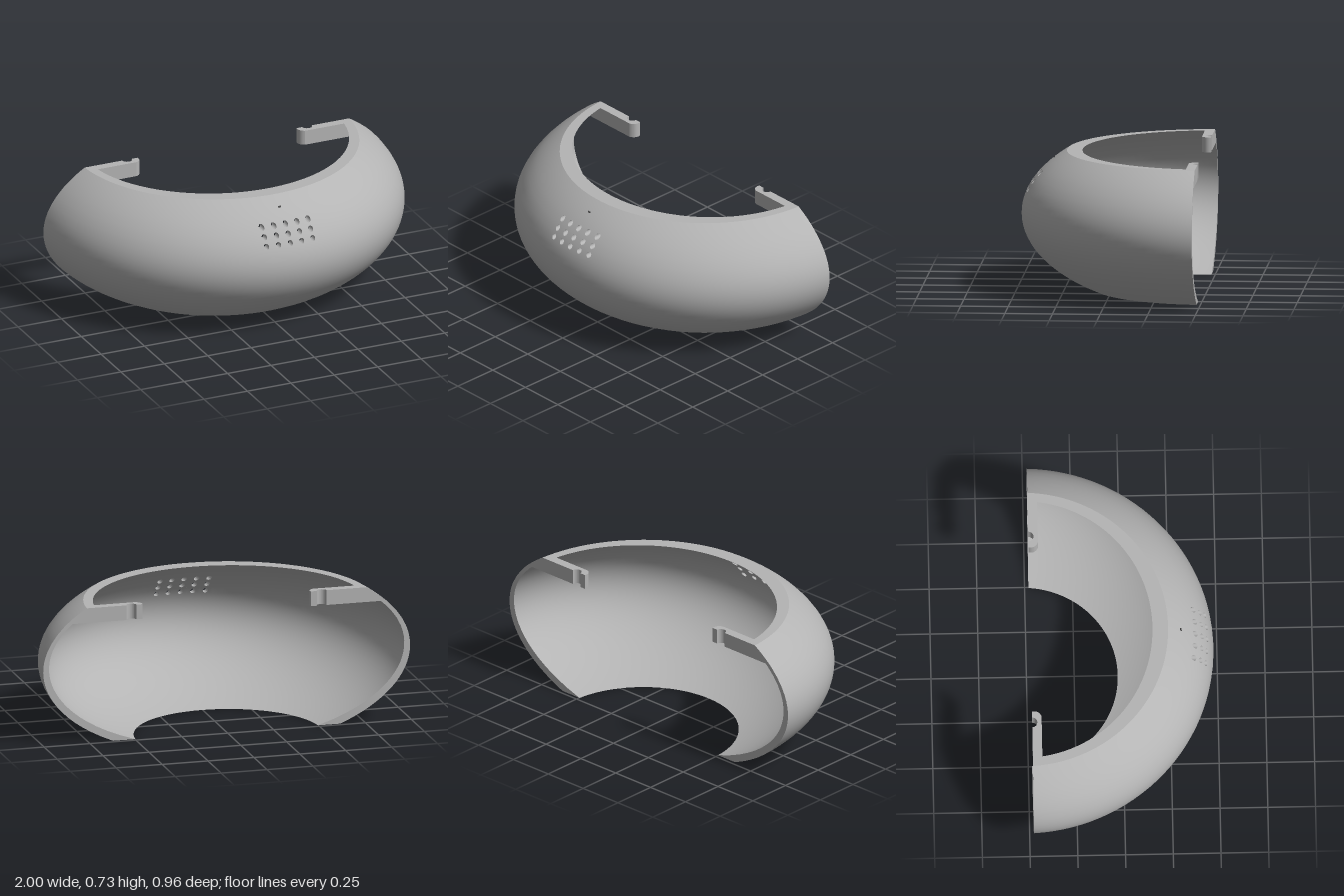
import * as THREE from 'three';

const TOP = 0.73, MID = 0.4, AXIS_Z = -0.52, CUT_Z = -0.48;
const OUTER = { a: 1, b: 0.51, flare: 0, sign: 1 };
const INNER = { a: 0.96, b: 0.468, flare: 0.05, sign: -1 };

const linspace = (a, b, n) => Array.from({ length: n + 1 }, (_, i) => a + (b - a) * i / n);

// Rows (height) and columns (fraction of the half turn); the middle ones frame the vent holes
const ROW0 = 18, COL0 = 26, VENT_ROWS = 3, VENT_COLS = 5;
const rows = [...linspace(0, 0.51, ROW0), 0.5525, 0.595, 0.6375, ...linspace(0.6375, TOP, 5).slice(1)];
const cols = [...linspace(-1, -0.12, COL0), ...linspace(-0.12, 0.12, VENT_COLS).slice(1), ...linspace(0.12, 1, COL0).slice(1)];

const radius = (w, y) => w.a * Math.sqrt(1 - ((y - MID) / w.b) ** 2);
const halfTurn = r => Math.PI / 2 - Math.asin((CUT_Z - AXIS_Z) / r);
const widen = (w, y) => 1 + w.flare * (y / TOP) ** 3;

// Point on a wall at column fraction s and height y
function wallPoint(w, s, y) {
  const r = radius(w, y), t = s * halfTurn(r);
  return new THREE.Vector3(r * Math.sin(t) * widen(w, y), y, AXIS_Z + r * Math.cos(t));
}
// Column fraction at which the wall passes a given x
function columnAt(w, x, y) {
  const r = radius(w, y);
  return Math.asin(x / (r * widen(w, y))) / halfTurn(r);
}

// Outline of one round vent, as x, y pairs
function ventCircle(i, j, n = 16) {
  const cx = (i - 2) * 0.0667, cy = 0.531 + j * 0.043;
  return linspace(0, Math.PI * 2, n).slice(0, n)
    .map(t => new THREE.Vector2(cx + 0.0145 * Math.cos(t), cy + 0.0145 * Math.sin(t)));
}

// Curved wall with smooth normals and open vents
function wallGeometry(w) {
  const pos = [], nor = [];
  const normalAt = p => new THREE.Vector3(p.x / w.a ** 2, (p.y - MID) / w.b ** 2, (p.z - AXIS_Z) / w.a ** 2)
    .normalize().multiplyScalar(w.sign);
  const tri = (a, b, c) => {
    const face = b.clone().sub(a).cross(c.clone().sub(a));
    const order = face.dot(normalAt(a)) < 0 ? [a, c, b] : [a, b, c];
    for (const p of order) {
      pos.push(p.x, p.y, p.z);
      nor.push(...normalAt(p).toArray());
    }
  };
  for (let r = 0; r < rows.length - 1; r++) {
    for (let c = 0; c < cols.length - 1; c++) {
      const corners = [[c, r], [c + 1, r], [c + 1, r + 1], [c, r + 1]]
        .map(([i, j]) => new THREE.Vector2(cols[i], rows[j]));
      const i = c - COL0, j = r - ROW0;
      const vent = i >= 0 && i < VENT_COLS && j >= 0 && j < VENT_ROWS;
      const hole = vent ? ventCircle(i, j).map(p => new THREE.Vector2(columnAt(w, p.x, p.y), p.y)).reverse() : [];
      const pts = [...corners, ...hole].map(p => wallPoint(w, p.x, p.y));
      const faces = THREE.ShapeUtils.triangulateShape(corners, vent ? [hole] : []);
      for (const [a, b, d] of faces) tri(pts[a], pts[b], pts[d]);
    }
  }
  const g = new THREE.BufferGeometry();
  g.setAttribute('position', new THREE.Float32BufferAttribute(pos, 3));
  g.setAttribute('normal', new THREE.Float32BufferAttribute(nor, 3));
  return g;
}

// Flat-sided strip joining two rows of points
function ribbon(p, q) {
  const pos = [];
  for (let i = 0; i < p.length - 1; i++) {
    for (const v of [p[i], p[i + 1], q[i + 1], p[i], q[i + 1], q[i]]) pos.push(v.x, v.y, v.z);
  }
  const g = new THREE.BufferGeometry();
  g.setAttribute('position', new THREE.Float32BufferAttribute(pos, 3));
  g.computeVertexNormals();
  return g;
}

export function createModel() {
  const model = new THREE.Group();
  const grey = new THREE.MeshStandardMaterial({ color: 0xb4b4b4, side: THREE.DoubleSide });
  grey.name = 'grey plastic';
  const dark = new THREE.MeshStandardMaterial({ color: 0x444444 });
  dark.name = 'dark slot';
  const add = (name, geometry, material = grey, parent = model) => {
    const mesh = new THREE.Mesh(geometry, material);
    mesh.name = name;
    parent.add(mesh);
    return mesh;
  };

  // Shell walls
  add('outerWall', wallGeometry(OUTER));
  add('innerWall', wallGeometry(INNER));

  // Flat rims at top and bottom
  const ring = (w, y) => cols.map(s => wallPoint(w, s, y));
  add('topRim', ribbon(ring(OUTER, TOP), ring(INNER, TOP)));
  add('bottomRim', ribbon(ring(INNER, 0), ring(OUTER, 0)));

  // Cut ends of the half ring
  const side = (w, s) => rows.map(y => wallPoint(w, s, y));
  add('leftEnd', ribbon(side(OUTER, 1), side(INNER, 1)));
  add('rightEnd', ribbon(side(INNER, -1), side(OUTER, -1)));

  // Bores of the vents
  const vents = new THREE.Group();
  vents.name = 'vents';
  model.add(vents);
  for (let i = 0; i < VENT_COLS; i++) {
    for (let j = 0; j < VENT_ROWS; j++) {
      const loop = ventCircle(i, j);
      loop.push(loop[0]);
      const edge = w => loop.map(p => wallPoint(w, columnAt(w, p.x, p.y), p.y));
      add('ventBore', ribbon(edge(INNER), edge(OUTER)), grey, vents);
    }
  }

  // Small slot above the vents
  const slot = add('slot', new THREE.BoxGeometry(0.016, 0.008, 0.004), dark);
  slot.position.set(0, 0.685, AXIS_Z + radius(OUTER, 0.685));
  slot.rotation.x = -0.92;

  // Clip arms: bar with a rounded tip and a round groove, plus a root meeting the wall
  const HEIGHT = 0.08;
  const bar = new THREE.Shape();
  bar.moveTo(0.73, 0.48);
  bar.lineTo(0.545, 0.48);
  bar.absarc(0.518, 0.48, 0.027, 0, Math.PI, true);
  bar.lineTo(0.458, 0.48);
  bar.quadraticCurveTo(0.45, 0.445, 0.485, 0.43);
  bar.lineTo(0.73, 0.43);
  const root = new THREE.Shape([[0.715, TOP], [0.745, TOP], [0.85, TOP - HEIGHT], [0.715, TOP - HEIGHT]]
    .map(([x, y]) => new THREE.Vector2(x, y)));
  for (const s of [1, -1]) {
    const arm = new THREE.Group();
    arm.name = s > 0 ? 'leftClipArm' : 'rightClipArm';
    arm.scale.x = s;
    model.add(arm);
    const barGeometry = new THREE.ExtrudeGeometry(bar, { depth: HEIGHT, bevelEnabled: false, curveSegments: 10 });
    barGeometry.rotateX(-Math.PI / 2).translate(0, TOP - HEIGHT, 0);
    add('clipBar', barGeometry, grey, arm);
    const rootGeometry = new THREE.ExtrudeGeometry(root, { depth: 0.05, bevelEnabled: false });
    add('clipRoot', rootGeometry.translate(0, 0, CUT_Z), grey, arm);
  }
  return model;
}
